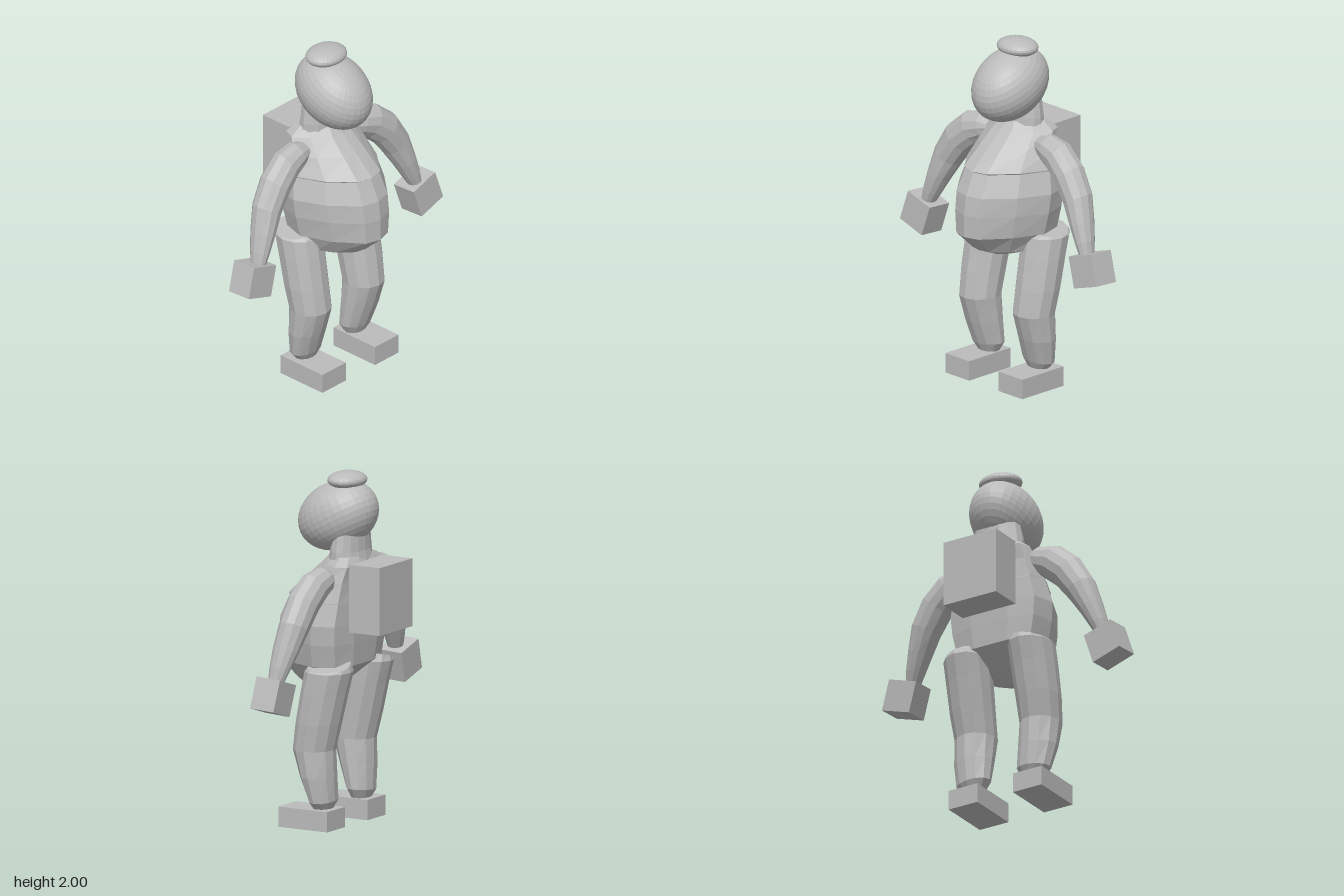
import * as THREE from 'three';

const grey = new THREE.MeshStandardMaterial({ color: 0xbbbbbb });
grey.name = 'plain grey';
grey.flatShading = true;

function add(parent, name, geometry, x = 0, y = 0, z = 0) {
  const mesh = new THREE.Mesh(geometry, grey);
  mesh.name = name;
  mesh.position.set(x, y, z);
  parent.add(mesh);
  return mesh;
}

// Skin a list of equal-length rings, with a fan closing each end
function loft(rings) {
  const n = rings[0].length;
  const pos = [], index = [];
  rings.forEach(ring => ring.forEach(p => pos.push(p.x, p.y, p.z)));
  for (let r = 0; r < rings.length - 1; r++) {
    for (let i = 0; i < n; i++) {
      const j = (i + 1) % n;
      const a = r * n + i, b = r * n + j, c = a + n, d = b + n;
      index.push(a, b, d, a, d, c);
    }
  }
  [0, rings.length - 1].forEach((r, end) => {
    const mid = new THREE.Vector3();
    rings[r].forEach(p => mid.addScaledVector(p, 1 / n));
    const m = pos.length / 3;
    pos.push(mid.x, mid.y, mid.z);
    for (let i = 0; i < n; i++) {
      const a = r * n + i, b = r * n + (i + 1) % n;
      index.push(m, end ? a : b, end ? b : a);
    }
  });
  const g = new THREE.BufferGeometry();
  g.setAttribute('position', new THREE.Float32BufferAttribute(pos, 3));
  g.setIndex(index);
  const flat = g.toNonIndexed();
  flat.computeVertexNormals();
  return flat;
}

// Limb through stations [x, y, z, radius across, radius in z]
function limb(stations, side = 1, sides = 12) {
  const centres = stations.map(s => new THREE.Vector3(s[0] * side, s[1], s[2]));
  const zAxis = new THREE.Vector3(0, 0, 1);
  return loft(stations.map((s, k) => {
    const t = centres[Math.min(k + 1, centres.length - 1)].clone().sub(centres[Math.max(k - 1, 0)]);
    t.z = 0;
    const u = zAxis.clone().cross(t.normalize());
    return Array.from({ length: sides }, (_, i) => {
      const a = (i / sides) * Math.PI * 2;
      return centres[k].clone()
        .addScaledVector(u, Math.cos(a) * s[3])
        .addScaledVector(zAxis, Math.sin(a) * s[4]);
    });
  }));
}

// Torso rings [y, half width, back z, front z], with a narrowing belly front
function torsoGeometry() {
  const half = [[0, 1], [0.32, 0.95], [0.74, 0.62], [1, 0.3], [0.98, 0.55], [0.85, 0.12], [0.4, 0]];
  half[4] = [1, 0.15 + 0.15];
  const plan = [[0, 1], [0.32, 0.95], [0.74, 0.66], [1, 0.32], [0.88, 0.07], [0.4, 0], [0, 0]];
  const outline = plan.concat(plan.slice(1, -1).reverse().map(([x, z]) => [-x, z]));
  const rows = [
    [0.765, 0.06, 0.05, 0.13],
    [0.815, 0.20, -0.03, 0.25],
    [0.92, 0.275, -0.16, 0.365],
    [1.05, 0.305, -0.17, 0.365],
    [1.16, 0.315, -0.175, 0.35],
    [1.285, 0.285, -0.18, 0.29],
    [1.292, 0.285, -0.18, 0.3],
    [1.4, 0.255, -0.18, 0.18],
    [1.49, 0.225, -0.19, 0.075],
    [1.535, 0.16, -0.165, 0.035],
  ];
  return loft(rows.map(([y, w, back, front]) =>
    outline.map(([x, z]) => new THREE.Vector3(x * w, y, back + z * (front - back)))));
}

export function createModel() {
  const model = new THREE.Group();
  model.name = 'figure';

  // Head, bun and neck
  const head = add(model, 'head', new THREE.SphereGeometry(1, 32, 18), 0, 1.743, 0.006);
  head.scale.set(0.195, 0.19, 0.25);
  head.rotation.x = THREE.MathUtils.degToRad(28);
  const bun = add(model, 'hairBun', new THREE.SphereGeometry(1, 28, 14), 0, 1.949, -0.052);
  bun.scale.set(0.128, 0.051, 0.106);
  add(model, 'neck', limb([
    [0, 1.47, -0.08, 0.165, 0.11],
    [0, 1.56, -0.075, 0.16, 0.095],
    [0, 1.68, -0.08, 0.14, 0.085],
  ], 1, 16));

  // Body and backpack
  add(model, 'torso', torsoGeometry());
  add(model, 'backpack', new THREE.BoxGeometry(0.35, 0.385, 0.2), 0, 1.3125, -0.272);

  for (const side of [1, -1]) {
    const tag = side > 0 ? 'left' : 'right';

    // Arm curving out and down, with a block hand
    add(model, tag + 'Arm', limb([
      [0.19, 1.425, -0.045, 0.045, 0.055],
      [0.25, 1.415, -0.045, 0.08, 0.075],
      [0.34, 1.385, -0.04, 0.1, 0.085],
      [0.435, 1.305, -0.03, 0.1, 0.09],
      [0.515, 1.185, -0.02, 0.09, 0.085],
      [0.57, 1.06, 0, 0.068, 0.075],
      [0.61, 0.96, 0.015, 0.052, 0.06],
      [0.635, 0.89, 0.025, 0.038, 0.045],
    ], side));
    const hand = add(model, tag + 'Hand', new THREE.BoxGeometry(0.185, 0.182, 0.153), 0.672 * side, 0.817, 0.019);
    hand.rotation.set(-0.06, 0, 0.3 * side);

    // Leg bulging forward at the knee, with a block foot
    add(model, tag + 'Leg', limb([
      [0.195, 0.10, -0.02, 0.06, 0.045],
      [0.2, 0.16, -0.02, 0.105, 0.075],
      [0.212, 0.3, 0.005, 0.118, 0.1],
      [0.215, 0.45, 0.03, 0.12, 0.122],
      [0.218, 0.6, 0, 0.128, 0.13],
      [0.215, 0.77, -0.035, 0.132, 0.135],
      [0.213, 0.9, -0.065, 0.132, 0.14],
      [0.22, 0.93, -0.07, 0.118, 0.125],
    ], side));
    add(model, tag + 'Foot', new THREE.BoxGeometry(0.19, 0.115, 0.32), 0.213 * side, 0.0575, 0.05);
  }
  return model;
}
